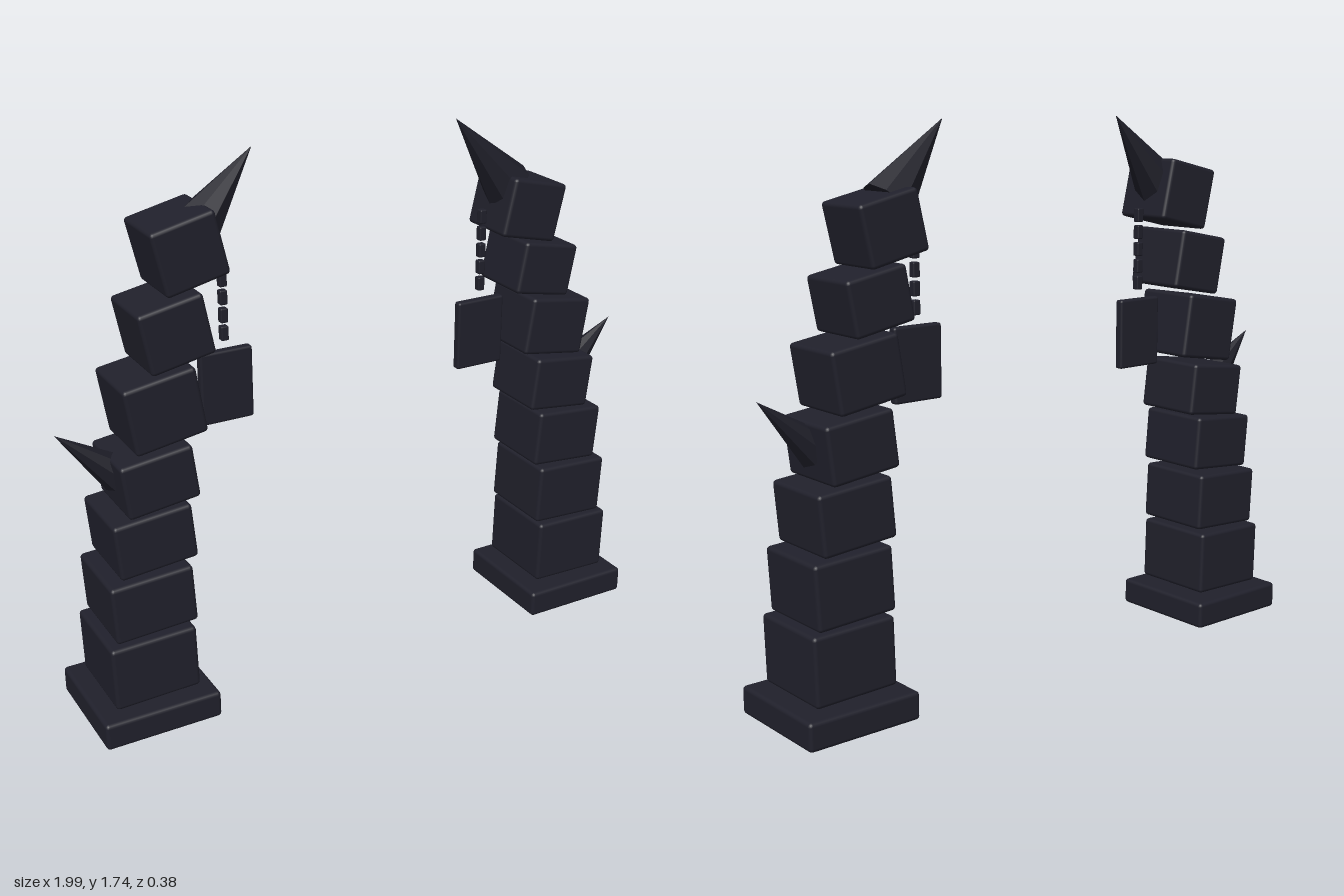
import * as THREE from 'three';
import { RoundedBoxGeometry } from 'three/addons/geometries/RoundedBoxGeometry.js';

export function createModel() {
  const model = new THREE.Group();
  const stone = new THREE.MeshStandardMaterial({ color: 0x20202b });
  stone.name = 'dark stone';
  const horn = new THREE.MeshStandardMaterial({ color: 0x1d1d27, flatShading: true });
  horn.name = 'dark horn';

  function block(parent, name, size, pos, tilt = 0, radius = 0.012) {
    const mesh = new THREE.Mesh(new RoundedBoxGeometry(...size, 2, radius), stone);
    mesh.name = name;
    mesh.position.set(...pos);
    mesh.rotation.z = THREE.MathUtils.degToRad(tilt);
    parent.add(mesh);
  }

  // Cone from a base centre to a tip, both in the xy plane
  function spike(parent, name, radius, from, to) {
    const a = new THREE.Vector2(...from), b = new THREE.Vector2(...to);
    const mesh = new THREE.Mesh(new THREE.ConeGeometry(radius, a.distanceTo(b), 8), horn);
    mesh.name = name;
    mesh.position.set((a.x + b.x) / 2, (a.y + b.y) / 2, 0);
    mesh.rotation.z = Math.atan2(b.y - a.y, b.x - a.x) - Math.PI / 2;
    parent.add(mesh);
  }

  // Stacked blocks, bottom to top: distance from centre, width, depth, inward tilt
  const stack = [
    [0.782, 0.277, 0.287, 1.5], [0.771, 0.265, 0.27, 3], [0.752, 0.25, 0.255, 5],
    [0.724, 0.23, 0.24, 7], [0.694, 0.23, 0.23, 9], [0.645, 0.206, 0.218, 11],
    [0.59, 0.204, 0.205, 13],
  ];
  // Centre height and block height differ between the two pillars
  const levels = {
    right: [[0.21, 0.21], [0.425, 0.19], [0.63, 0.18], [0.817, 0.173], [1.034, 0.212], [1.26, 0.192], [1.489, 0.2]],
    left: [[0.214, 0.215], [0.43, 0.2], [0.637, 0.187], [0.834, 0.178], [1.04, 0.19], [1.243, 0.17], [1.445, 0.188]],
  };

  for (const [side, s] of [['left', 1], ['right', -1]]) {
    const pillar = new THREE.Group();
    pillar.name = side + 'Pillar';
    block(pillar, 'base', [0.38, 0.088, 0.38], [s * 0.783, 0.047, 0]);
    stack.forEach(([x, w, d, tilt], i) => {
      const [y, h] = levels[side][i];
      block(pillar, 'block' + (i + 1), [w, h, d], [s * x, y, 0], -s * tilt);
    });

    // Large horn at the top pointing inward, small one pointing outward
    spike(pillar, 'topHorn', 0.082, [s * 0.546, 1.513], [s * 0.347, 1.747]);
    spike(pillar, 'sideHorn', 0.06, [s * 0.812, 0.82], [s * 0.997, 0.984]);

    // Hanging chain and plaque
    for (let i = 0; i < 5; i++) {
      block(pillar, 'chainLink', [0.024, 0.045, 0.024], [s * 0.455, 1.422 - i * 0.056, 0], 0, 0.004);
    }
    block(pillar, 'hangingPlaque', [0.172, 0.23, 0.03], [s * 0.455, 1.031, 0], 0, 0.008);
    model.add(pillar);
  }

  model.position.x = -0.003;
  return model;
}
